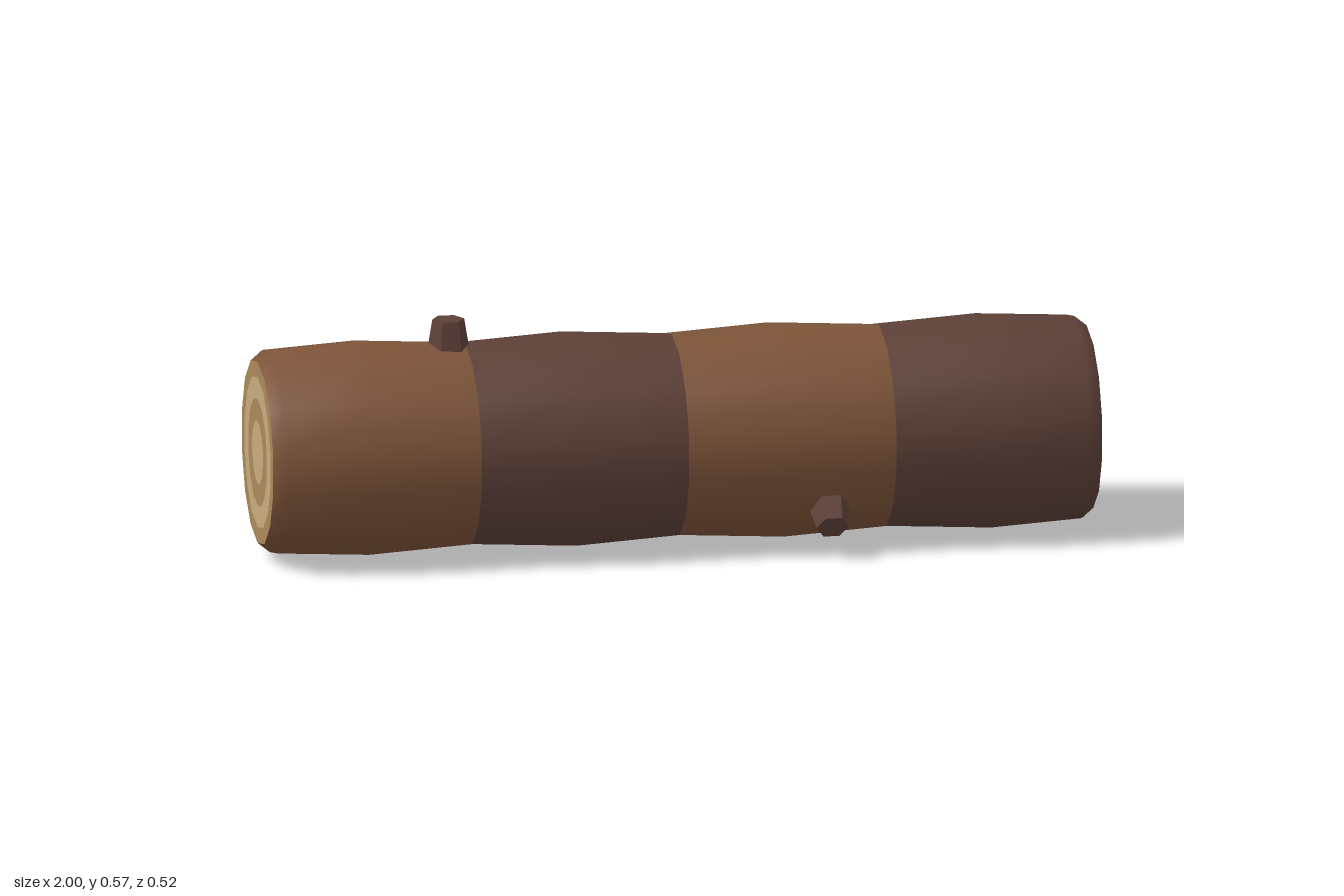
import * as THREE from 'three';

const SIDES = 14;
const LIGHT_BARK = 0x7c5339, DARK_BARK = 0x5d4037;
const LIGHT_WOOD = 0xc8ad7f, DARK_WOOD = 0xac885b;
const AXIS_Y = 0.261, AXIS_Z = -0.007;

function addMesh(parent, name, geometry, color, flatShading = false) {
  const mesh = new THREE.Mesh(geometry, new THREE.MeshStandardMaterial({ color, flatShading }));
  mesh.name = name;
  parent.add(mesh);
  return mesh;
}

// Bulging bark band, turned about the x axis; profile is [x, radius] pairs
function barkBand(profile) {
  const points = profile.map(([x, r]) => new THREE.Vector2(r, x));
  return new THREE.LatheGeometry(points, SIDES, Math.PI / 2).rotateZ(-Math.PI / 2);
}

// Short tapered hexagonal branch, pointing out from the log's axis
function branchStub(parent, name, x, angle) {
  const inner = 0.19, outer = 0.307;
  const geometry = new THREE.CylinderGeometry(0.0385, 0.058, outer - inner, 6)
    .rotateY(Math.PI / 2)
    .translate(0, (inner + outer) / 2, 0);
  const stub = addMesh(parent, name, geometry, DARK_BARK, true);
  stub.position.x = x;
  stub.rotation.x = angle;
}

export function createModel() {
  const model = new THREE.Group();
  model.name = 'log';
  const log = new THREE.Group();
  log.name = 'logBody';
  log.position.set(0, AXIS_Y, AXIS_Z);
  model.add(log);

  // Four bark bands of alternating colour, with chamfered log ends
  const waist = 0.245, bulge = 0.26, endRadius = 0.223;
  for (let i = 0; i < 4; i++) {
    const x = -1 + i * 0.5;
    const profile = [[x, waist], [x + 0.25, bulge], [x + 0.5, waist]];
    if (i === 0) profile.splice(0, 1, [-1, endRadius], [-0.97, 0.247]);
    if (i === 3) profile.splice(2, 1, [0.97, 0.247], [1, endRadius]);
    addMesh(log, `barkBand${i + 1}`, barkBand(profile), i % 2 ? DARK_BARK : LIGHT_BARK);
  }

  // Growth rings on both cut ends
  const radii = [endRadius, 0.184, 0.131, 0.077, 0];
  for (const side of [-1, 1]) {
    const cutEnd = new THREE.Group();
    cutEnd.name = side > 0 ? 'leftCutEnd' : 'rightCutEnd';
    cutEnd.position.x = side;
    cutEnd.rotation.y = side * Math.PI / 2;
    log.add(cutEnd);
    for (let i = 0; i < 4; i++) {
      const ring = new THREE.RingGeometry(radii[i + 1], radii[i], SIDES, 1, Math.PI / 2);
      addMesh(cutEnd, `growthRing${i + 1}`, ring, i % 2 ? LIGHT_WOOD : DARK_WOOD);
    }
  }

  // Sawn-off branches
  branchStub(log, 'topBranchStub', -0.54, 0);
  branchStub(log, 'frontBranchStub', 0.345, 2.2);

  return model;
}
